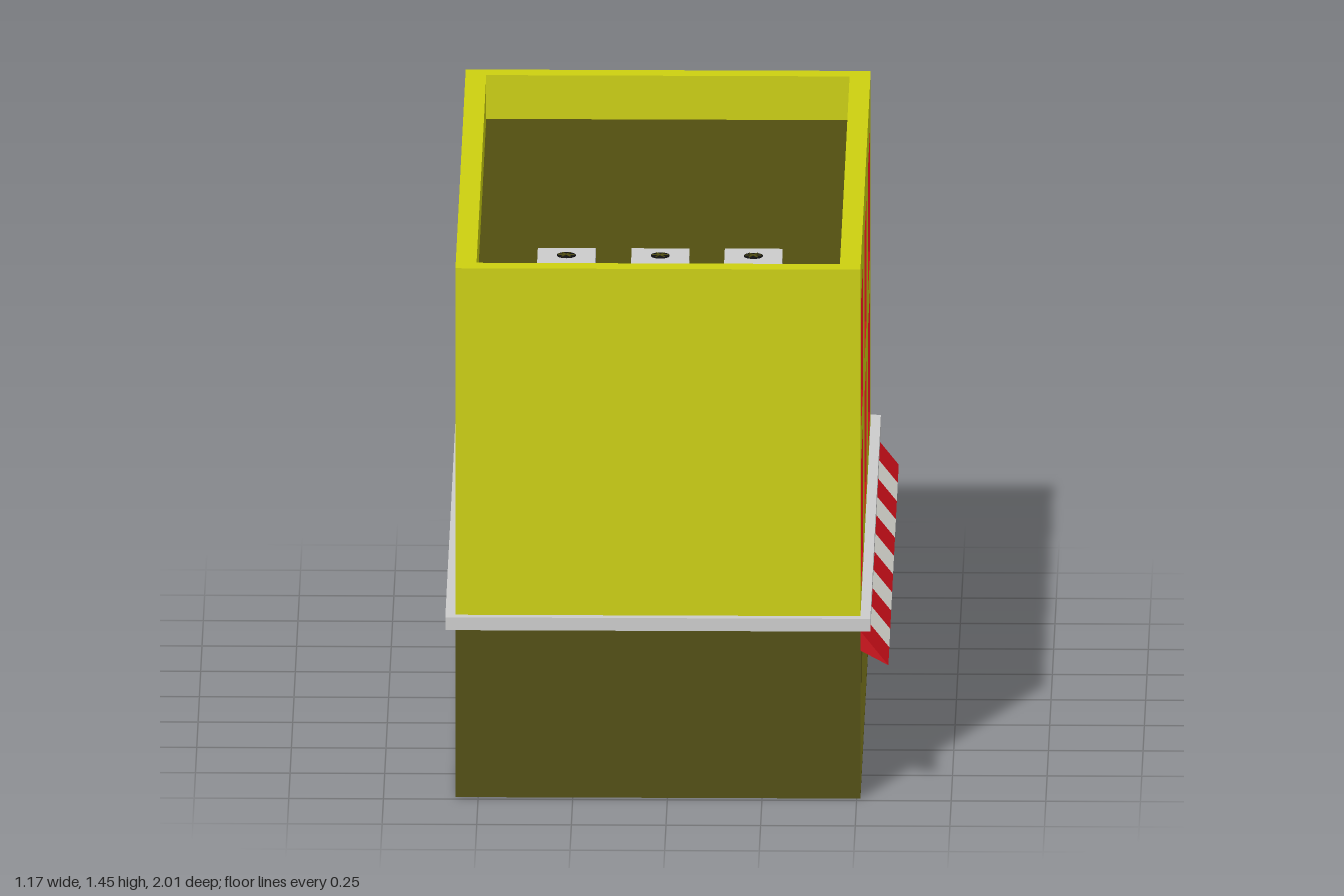
import * as THREE from 'three';

const mat = (color) => new THREE.MeshStandardMaterial({ color, side: THREE.DoubleSide, flatShading: true });
const YELLOW = mat(0xccd010), BROWN = mat(0x524f10), GREY = mat(0xcccccc), RED = mat(0xd0101a),
  BRIGHT_RED = mat(0xf0140e), BLUE = mat(0x109cf5), WHITE = mat(0xe4e4dc), BLACK = mat(0x111111);

const W = 1.07, D = 1.96, H = 1.45, CX = -0.025; // body size and x centre
const LEDGE_Y0 = 0.465, LEDGE_Y1 = 0.5, ROOF_Y = 1.33;

function add(parent, name, geometry, material, x = 0, y = 0, z = 0) {
  const mesh = new THREE.Mesh(geometry, material);
  mesh.name = name;
  mesh.position.set(x, y, z);
  parent.add(mesh);
  return mesh;
}

const box = (parent, name, material, w, h, d, x, y, z) =>
  add(parent, name, new THREE.BoxGeometry(w, h, d), material, x, y, z);

function group(parent, name, x = 0, y = 0, z = 0) {
  const g = new THREE.Group();
  g.name = name;
  g.position.set(x, y, z);
  parent.add(g);
  return g;
}

// Skin between successive centred rectangles [width, height, z]
function loft(rects) {
  const corners = [[-0.5, -0.5], [0.5, -0.5], [0.5, 0.5], [-0.5, 0.5]];
  const pos = [], at = (r, i) => [corners[i % 4][0] * r[0], corners[i % 4][1] * r[1], r[2]];
  for (let k = 0; k + 1 < rects.length; k++)
    for (let i = 0; i < 4; i++) {
      const a = at(rects[k], i), b = at(rects[k], i + 1), c = at(rects[k + 1], i + 1), d = at(rects[k + 1], i);
      pos.push(...a, ...b, ...c, ...a, ...c, ...d);
    }
  const g = new THREE.BufferGeometry();
  g.setAttribute('position', new THREE.Float32BufferAttribute(pos, 3));
  g.computeVertexNormals();
  return g;
}

// Ring around the building from [inset, y] steps
const ringAround = (steps) =>
  loft(steps.map(([inset, y]) => [W - 2 * inset, D - 2 * inset, y])).rotateX(-Math.PI / 2);

// Flat wall with rectangular openings {x, y, w, h} given by centre
function wall(parent, name, material, width, y0, y1, holes = []) {
  const rect = (P, x0, ya, x1, yb) =>
    new P([[x0, ya], [x1, ya], [x1, yb], [x0, yb]].map(([x, y]) => new THREE.Vector2(x, y)));
  const shape = rect(THREE.Shape, -width / 2, y0, width / 2, y1);
  for (const { x, y, w, h } of holes)
    shape.holes.push(rect(THREE.Path, x - w / 2, y - h / 2, x + w / 2, y + h / 2));
  add(parent, name, new THREE.ShapeGeometry(shape), material);
}

// Splayed reveal, pane and rim of a recessed window
function windowBase(parent, name, o, slope, depth, reveal, pane) {
  const g = group(parent, name, o.x, o.y, 0);
  const w = o.w - 2 * slope, h = o.h - 2 * slope, t = 0.01;
  add(g, 'reveal', loft([[o.w, o.h, 0], [w, h, -depth]]), reveal);
  box(g, 'pane', pane, w, h, 0.004, 0, 0, -depth);
  for (const s of [-1, 1]) {
    box(g, 'rimSide', GREY, t, h, 0.014, s * (w - t) / 2, 0, -depth + 0.005);
    box(g, 'rimEnd', GREY, w, t, 0.014, 0, s * (h - t) / 2, -depth + 0.005);
  }
  return { g, w, h };
}

// Street side: shop front, awning, three columns of windows
function streetSide(parent) {
  const side = group(parent, 'streetSide', CX + W / 2, 0, 0);
  side.rotation.y = Math.PI / 2;
  const openings = [];
  for (const y of [0.715, 1.155])
    for (const x of [-0.68, -0.005, 0.682]) openings.push({ x, y, w: 0.405, h: 0.35 });
  wall(side, 'streetWallUpper', YELLOW, D, LEDGE_Y1, H, openings);
  for (const o of openings) {
    const balcony = Math.abs(o.x) < 0.1, depth = balcony ? 0.15 : 0.05;
    const { g, w, h } = windowBase(side, balcony ? 'balconyWindow' : 'streetWindow', o, 0.027, depth, RED, BLUE);
    for (const s of [-1, 1]) box(g, 'mullion', GREY, 0.012, h, 0.014, s * w / 6, 0, -depth + 0.005);
    if (balcony) {
      for (const s of [-1, 1])
        box(g, 'balconyPanel', BRIGHT_RED, w / 2 - 0.002, 0.085, 0.012, s * w / 4, -h / 2 + 0.042, -0.03);
      box(g, 'balconyPost', GREY, 0.004, 0.085, 0.01, 0, -h / 2 + 0.042, -0.03);
    }
  }

  // Shop front
  const shop = { x: 0.005, y: 0.23, w: 1.89, h: 0.445 };
  wall(side, 'streetWallLower', BROWN, D, 0, LEDGE_Y0, [shop]);
  const front = group(side, 'shopFront', shop.x, shop.y, 0);
  add(front, 'shopReveal', loft([[shop.w, shop.h, 0], [shop.w, shop.h, -0.03]]), BROWN);
  box(front, 'shopGlass', BLUE, shop.w, shop.h, 0.004, 0, 0, -0.03);
  for (let i = 1; i < 7; i++)
    box(front, 'shopMullion', BROWN, 0.014, shop.h, 0.02, -shop.w / 2 + i * shop.w / 7, 0, -0.022);

  // Striped awning of wedge-shaped strips
  const awning = group(side, 'awning', -0.995, 0, 0);
  const profile = new THREE.Shape([[0, 0.463], [0, 0.41], [-0.074, 0.37]].map(([x, y]) => new THREE.Vector2(x, y)));
  const strip = 1.98 / 11;
  for (let i = 0; i < 11; i++) {
    const geo = new THREE.ExtrudeGeometry(profile, { depth: strip - 0.002, bevelEnabled: false });
    geo.rotateY(Math.PI / 2);
    add(awning, 'awningStrip', geo, i % 2 ? WHITE : RED, i * strip, 0, 0);
  }
}

// Rear side: two rows of windows and small basement-style vents below
function rearSide(parent) {
  const side = group(parent, 'rearSide', CX, 0, -D / 2);
  side.rotation.y = Math.PI;
  const columns = [-0.345, -0.005, 0.335];
  const openings = [], vents = columns.map((x) => ({ x, y: 0.245, w: 0.13, h: 0.12 }));
  for (const y of [0.745, 1.185])
    for (const x of columns) openings.push({ x, y, w: 0.235, h: 0.3 });
  wall(side, 'rearWallUpper', YELLOW, W, LEDGE_Y1, H, openings);
  wall(side, 'rearWallLower', BROWN, W, 0, LEDGE_Y0, vents);
  for (const o of openings) {
    const { g, w, h } = windowBase(side, 'rearWindow', o, 0.022, 0.04, RED, BLUE);
    box(g, 'transom', GREY, w, 0.012, 0.014, 0, h * 0.24, -0.035);
    box(g, 'transomMullion', GREY, 0.01, h * 0.26, 0.014, 0, h * 0.37, -0.035);
  }
  for (const o of vents) {
    const { g, w, h } = windowBase(side, 'smallWindow', o, 0.004, 0.02, BROWN, BRIGHT_RED);
    box(g, 'smallTransom', GREY, w, 0.006, 0.012, 0, h * 0.28, -0.015);
  }
}

// Rooftop ventilation unit: grey frame, blue sides, round fan opening
function roofUnit(parent, x, z) {
  const u = group(parent, 'roofUnit', x, ROOF_Y, z);
  const s = 0.153, h = 0.092, t = 0.013;
  box(u, 'unitSides', BLUE, s - 0.012, h - 0.01, s - 0.012, 0, h / 2, 0);
  box(u, 'unitBase', GREY, s, t, s, 0, t / 2, 0);
  box(u, 'unitTop', GREY, s, t, s, 0, h - t / 2, 0);
  for (const i of [-1, 1])
    for (const k of [-1, 1])
      box(u, 'unitPost', GREY, t, h, t, i * (s - t) / 2, h / 2, k * (s - t) / 2);
  add(u, 'fanOpening', new THREE.CylinderGeometry(0.025, 0.025, 0.004, 16), BLACK, 0, h + 0.001, 0);
  for (let i = 0; i < 3; i++)
    box(u, 'fanBlade', BROWN, 0.044, 0.002, 0.003, 0, h + 0.004, 0).rotation.y = i * Math.PI / 3;
}

export function createModel() {
  const model = new THREE.Group();
  model.name = 'shopBuilding';

  // Plain walls
  const plain = [['frontWall', CX, D / 2, 0, W], ['partyWall', CX - W / 2, 0, -Math.PI / 2, D]];
  for (const [name, x, z, turn, width] of plain) {
    const g = group(model, name, x, 0, z);
    g.rotation.y = turn;
    wall(g, name + 'Upper', YELLOW, width, LEDGE_Y1, H);
    wall(g, name + 'Lower', BROWN, width, 0, LEDGE_Y0);
  }
  streetSide(model);
  rearSide(model);

  // Ledge between the floors, parapet and roof
  const out = -0.0265;
  add(model, 'ledge', ringAround([[0, LEDGE_Y0], [out, LEDGE_Y0], [out, LEDGE_Y1], [0, LEDGE_Y1]]), GREY, CX);
  add(model, 'parapet', ringAround([[0, H], [0.055, H], [0.055, ROOF_Y]]), YELLOW, CX);
  add(model, 'roof', new THREE.PlaneGeometry(W - 0.11, D - 0.11).rotateX(-Math.PI / 2), BROWN, CX, ROOF_Y);
  for (const x of [-0.27, -0.022, 0.224]) roofUnit(model, x, 0.752);
  return model;
}
